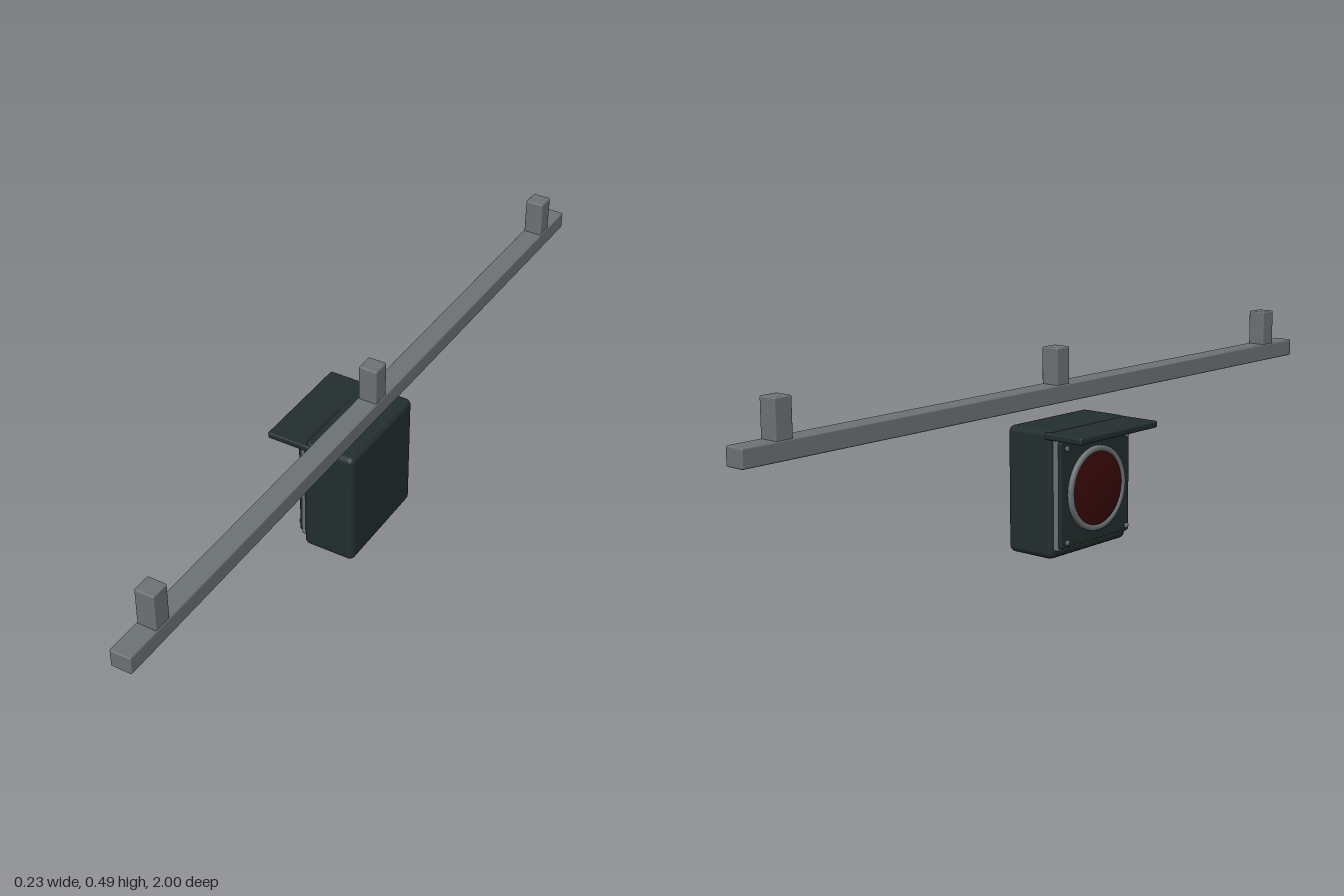
import * as THREE from 'three';
import { RoundedBoxGeometry } from 'three/addons/geometries/RoundedBoxGeometry.js';

const paint = (name, color) => {
  const m = new THREE.MeshStandardMaterial({ color });
  m.name = name;
  return m;
};

export function createModel() {
  const model = new THREE.Group();
  model.name = 'hangingSignalLamp';
  const steel = paint('steelGrey', 0x6d7276);
  const casing = paint('darkCasing', 0x222e2d);
  const red = paint('darkRedGlass', 0x3a0708);

  const add = (name, geometry, material) => {
    const mesh = new THREE.Mesh(geometry, material);
    mesh.name = name;
    model.add(mesh);
    return mesh;
  };
  // Rounded box given by its lower and upper corner
  const block = (name, material, [x0, y0, z0], [x1, y1, z1], radius) => {
    const mesh = add(name, new RoundedBoxGeometry(x1 - x0, y1 - y0, z1 - z0, 3, radius), material);
    mesh.position.set((x0 + x1) / 2, (y0 + y1) / 2, (z0 + z1) / 2);
    return mesh;
  };
  // Turned part whose axis points out of the lamp face, towards -x
  const turned = (name, material, points, y, z, segments = 48) => {
    const profile = points.map(([r, h]) => new THREE.Vector2(r, h));
    const mesh = add(name, new THREE.LatheGeometry(profile, segments), material);
    mesh.rotation.z = Math.PI / 2;
    mesh.position.set(0, y, z);
    return mesh;
  };

  // Overhead rail and its three hanger posts
  block('rail', steel, [0.058, 0.355, -1], [0.11, 0.4, 1], 0.004);
  for (const z of [-0.885, 0, 0.885]) {
    block('hangerPost', steel, [0.06, 0.38, z - 0.024], [0.108, 0.491, z + 0.024], 0.004);
  }

  // Lamp housing, visor and layered door
  block('housing', casing, [-0.023, 0, -0.145], [0.116, 0.314, 0.145], 0.016);
  block('visor', casing, [-0.118, 0.293, -0.147], [-0.002, 0.31, 0.147], 0.005);
  block('doorGasket', steel, [-0.034, 0.022, -0.135], [-0.02, 0.293, 0.135], 0.004);
  block('doorPlate', casing, [-0.042, 0.028, -0.13], [-0.031, 0.287, 0.13], 0.004);

  // Bezel ring around the domed lens
  const cy = 0.157;
  turned('bezel', steel, [
    [0.105, 0.04], [0.105, 0.05], [0.102, 0.053], [0.094, 0.053], [0.091, 0.05], [0.091, 0.04],
  ], cy, 0);
  const dome = [];
  for (let i = 0; i <= 8; i++) {
    const r = 0.092 * (1 - i / 8);
    dome.push([r, 0.0575 - 0.0085 * (r / 0.092) ** 2]);
  }
  turned('lens', red, dome, cy, 0);

  // Door screws in the four corners
  for (const y of [cy - 0.115, cy + 0.115]) {
    for (const z of [-0.113, 0.113]) {
      turned('screwShank', steel, [[0.003, 0.04], [0.003, 0.047]], y, z, 12);
      turned('screwHead', steel, [[0, 0.046], [0.007, 0.046], [0.007, 0.049], [0.005, 0.051], [0, 0.051]], y, z, 16);
    }
  }
  return model;
}
